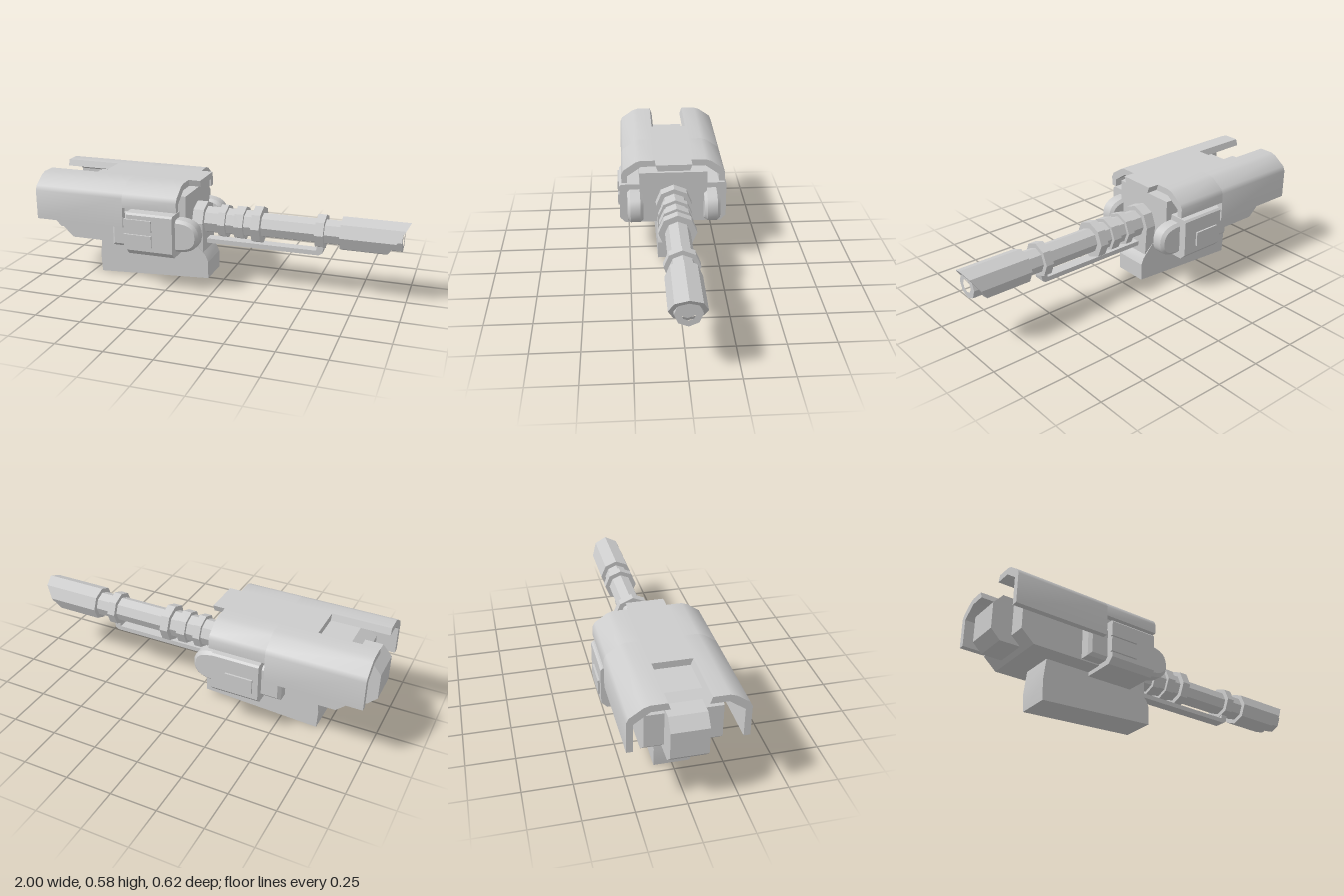
import * as THREE from 'three';
import { toCreasedNormals } from 'three/addons/utils/BufferGeometryUtils.js';

const AXIS = 0.345; // height of the barrel axis

const toShape = (pts) => new THREE.Shape(pts.map(([a, b]) => new THREE.Vector2(a, b)));

// side profile [x, y] extruded from z0 to z1
function alongZ(pts, z0, z1, bevel = 0) {
  const shape = Array.isArray(pts) ? toShape(pts) : pts;
  const g = new THREE.ExtrudeGeometry(shape, {
    depth: z1 - z0 - 2 * bevel, bevelEnabled: bevel > 0,
    bevelThickness: bevel, bevelSize: bevel, bevelOffset: -bevel, bevelSegments: 1, curveSegments: 6,
  });
  return g.translate(0, 0, z0 + bevel);
}

// cross-section [z, y] extruded from x0 to x1
function alongX(pts, x0, x1, hole) {
  const flip = ([z, y]) => [-z, y];
  const shape = toShape(pts.map(flip));
  if (hole) shape.holes.push(toShape(hole.map(flip)));
  const g = new THREE.ExtrudeGeometry(shape, { depth: x1 - x0, bevelEnabled: false });
  return g.rotateY(Math.PI / 2).translate(x0, 0, 0);
}

const octagon = (r) => Array.from({ length: 8 }, (_, i) => {
  const a = i * Math.PI / 4;
  return [r * Math.cos(a), AXIS + r * Math.sin(a)];
});

export function createModel() {
  const model = new THREE.Group();
  model.name = 'turretGun';
  const grey = new THREE.MeshStandardMaterial({ color: 0xcccccc });
  grey.name = 'light grey';
  const add = (name, geo, crease = 0.4) => {
    const mesh = new THREE.Mesh(toCreasedNormals(geo, crease), grey);
    mesh.name = name;
    model.add(mesh);
  };
  const box = (name, x0, x1, y0, y1, z0, z1) => add(name,
    new THREE.BoxGeometry(x1 - x0, y1 - y0, z1 - z0).translate((x0 + x1) / 2, (y0 + y1) / 2, (z0 + z1) / 2));

  // Foot under the body
  add('base', alongZ([[-0.7, 0], [-0.06, 0.035], [-0.06, 0.13], [-0.075, 0.165], [-0.14, 0.235],
    [-0.69, 0.235], [-0.705, 0.1]], -0.093, 0.093));

  // Receiver and rear block
  add('body', alongZ([[-0.89, 0.285], [-0.82, 0.222], [-0.2, 0.222], [-0.15, 0.248], [-0.15, 0.518],
    [-0.815, 0.518], [-0.89, 0.462]], -0.188, 0.188));
  add('rearBlock', alongZ([[-1, 0.29], [-0.95, 0.24], [-0.82, 0.24], [-0.82, 0.487], [-0.95, 0.487],
    [-1, 0.43]], -0.092, 0.092));

  // Box crossing the body, with side plates
  add('sidePods', alongX([[-0.3, 0.23], [-0.27, 0.2], [0.27, 0.2], [0.3, 0.23], [0.3, 0.425],
    [0.29, 0.435], [-0.29, 0.435], [-0.3, 0.425]], -0.445, -0.185));
  box('leftUpperPlate', -0.455, -0.3, 0.34, 0.403, 0.295, 0.31);
  box('leftLowerPlate', -0.455, -0.3, 0.255, 0.32, 0.295, 0.31);
  box('rightPlate', -0.415, -0.265, 0.265, 0.345, -0.31, -0.295);

  // Round-nosed housings on both sides
  const nose = new THREE.Shape();
  nose.moveTo(-0.55, 0.228);
  nose.lineTo(-0.16, 0.228);
  nose.bezierCurveTo(-0.09, 0.235, -0.06, 0.26, -0.06, 0.316);
  nose.bezierCurveTo(-0.06, 0.37, -0.09, 0.4, -0.16, 0.405);
  nose.lineTo(-0.55, 0.405);
  for (const s of [-1, 1]) {
    const [z0, z1] = s > 0 ? [0.17, 0.257] : [-0.257, -0.17];
    add('sideHousing', alongZ(nose, z0, z1, 0.016));
  }

  // Curved cover: two roof halves with skirts, joined by a centre strip
  const roof = [[0.1, 0.585], [0.18, 0.585], [0.21, 0.575], [0.275, 0.53], [0.287, 0.505]];
  const inner = [[0.255, 0.495], [0.177, 0.55], [0.088, 0.55]];
  for (const s of [-1, 1]) {
    const section = (low) => [...roof, [0.287, low], [0.255, low], ...inner].map(([z, y]) => [s * z, y]);
    add('coverRear', alongX(section(0.345), -0.98, -0.47), 0.7);
    add('coverFront', alongX(section(0.455), -0.47, -0.165), 0.7);
  }
  add('coverCentre', alongX([[0.1, 0.585], [0.088, 0.55], [-0.088, 0.55], [-0.1, 0.585]], -0.67, -0.1));

  // Barrel mount with hanging bracket
  add('barrelMount', alongX([[0.1, AXIS], [0.071, 0.416], [0, 0.445], [-0.071, 0.416], [-0.1, AXIS],
    [-0.095, 0.3], [-0.087, 0.172], [-0.06, 0.163], [0.06, 0.163], [0.087, 0.172], [0.095, 0.3]], -0.16, -0.09));

  // Eight-sided barrel and its rings: [name, start, end, radius]
  for (const [name, x0, x1, r] of [
    ['barrelRoot', -0.1, 0.2, 0.074], ['barrel', 0.2, 0.9, 0.067],
    ['barrelRing', -0.01, 0.03, 0.092], ['barrelRing', 0.08, 0.13, 0.092],
    ['barrelRing', 0.178, 0.225, 0.102], ['barrelRing', 0.52, 0.565, 0.092],
  ]) {
    add(name, new THREE.CylinderGeometry(r, r, x1 - x0, 8).rotateZ(-Math.PI / 2)
      .translate((x0 + x1) / 2, AXIS, 0));
  }
  add('barrelTip', alongX(octagon(0.067), 0.9, 0.965, octagon(0.035)));

  // Muzzle sleeve, its open end cut at a slant
  const sleeve = alongX(octagon(0.092), 0.65, 1, octagon(0.066));
  const p = sleeve.attributes.position;
  for (let i = 0; i < p.count; i++) {
    if (p.getX(i) > 0.9) p.setX(i, 0.94 + (p.getY(i) - AXIS) * 0.65);
  }
  add('muzzleSleeve', sleeve);

  // Rod below the barrel, turned up into the last ring
  add('underRod', alongZ([[-0.12, 0.217], [0.535, 0.217], [0.552, 0.228], [0.562, 0.275], [0.525, 0.275],
    [0.52, 0.242], [-0.12, 0.242]], -0.03, 0.03));

  return model;
}
